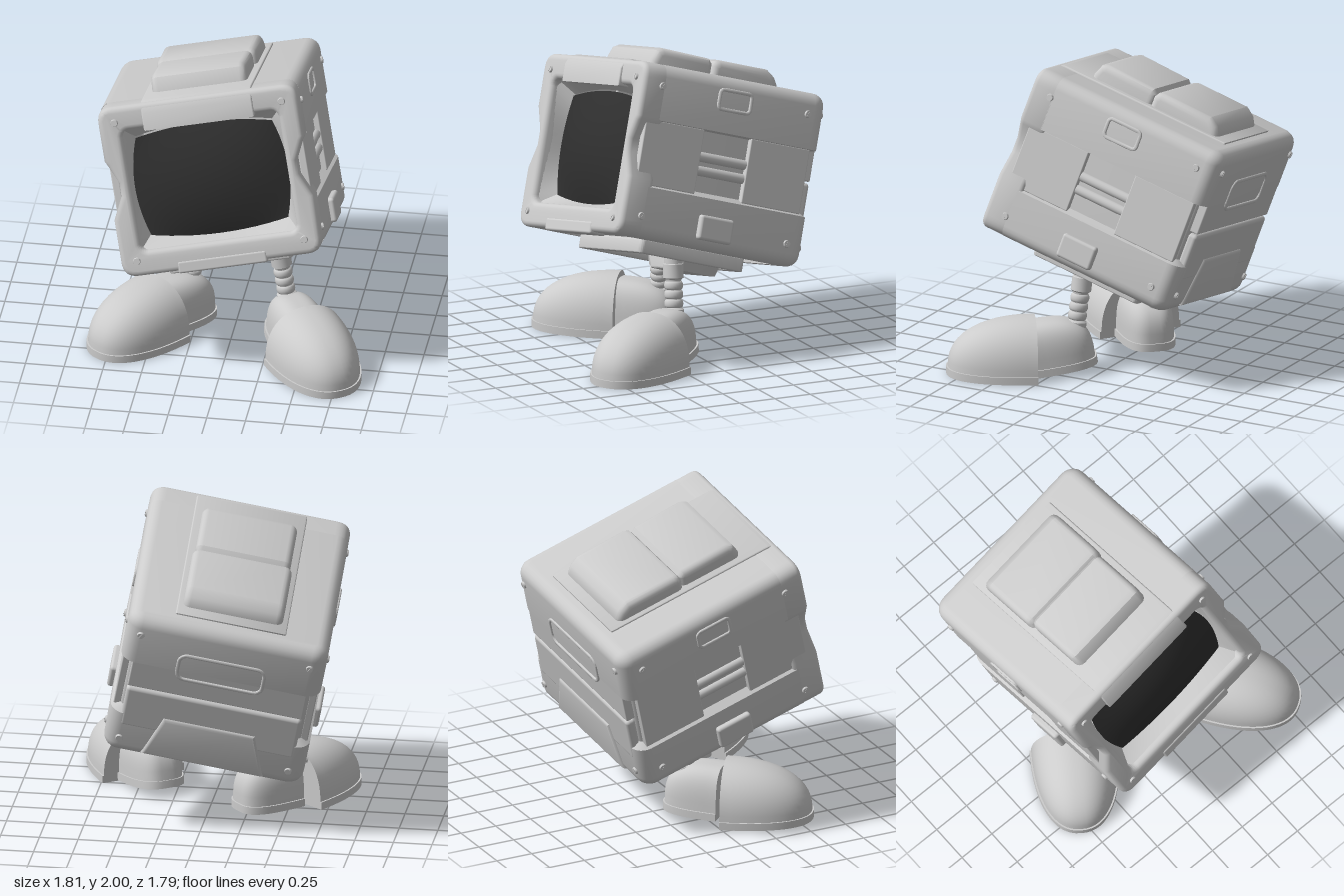
import * as THREE from 'three';
import { toCreasedNormals } from 'three/addons/utils/BufferGeometryUtils.js';
import { RoundedBoxGeometry } from 'three/addons/geometries/RoundedBoxGeometry.js';

const grey = new THREE.MeshStandardMaterial({ color: 0xcccccc, side: THREE.DoubleSide });
const dark = new THREE.MeshStandardMaterial({ color: 0x2e2e2e, side: THREE.DoubleSide });
const A = 0.65, B = 0.56, C = 0.69; // half width, height and depth of the casing

function add(parent, name, geo, x = 0, y = 0, z = 0, mat = grey) {
  const m = new THREE.Mesh(geo, mat);
  m.name = name;
  m.position.set(x, y, z);
  parent.add(m);
  return m;
}
function group(parent, name) {
  const g = new THREE.Group();
  g.name = name;
  parent.add(g);
  return g;
}
const rbox = (w, h, d, r = 0.015) => new RoundedBoxGeometry(w, h, d, 3, r);

// Joins equal-length rings of points into a surface
function loft(rings) {
  const n = rings[0].length, idx = [];
  for (let j = 0; j < rings.length - 1; j++)
    for (let i = 0; i < n - 1; i++) {
      const a = j * n + i, b = a + n;
      idx.push(a, a + 1, b + 1, a, b + 1, b);
    }
  const g = new THREE.BufferGeometry().setFromPoints(rings.flat());
  g.setIndex(idx);
  return toCreasedNormals(g, 0.6);
}

// Rounded rectangle outline
function rrect(w, h, r, s = new THREE.Shape()) {
  const x = w / 2, y = h / 2, q = Math.PI / 2;
  s.absarc(x - r, y - r, r, 0, q);
  s.absarc(-x + r, y - r, r, q, 2 * q);
  s.absarc(-x + r, -y + r, r, 2 * q, 3 * q);
  s.absarc(x - r, -y + r, r, 3 * q, 4 * q);
  s.closePath();
  return s;
}
function extrude(shape, depth, bevel) {
  const g = new THREE.ExtrudeGeometry(shape, {
    depth: depth - 2 * bevel, bevelSize: bevel, bevelThickness: bevel, bevelOffset: -bevel, bevelSegments: 4, curveSegments: 8,
  });
  g.translate(0, 0, bevel);
  return toCreasedNormals(g, 0.6);
}
const poly = (pts) => new THREE.Shape(pts.map(([x, y]) => new THREE.Vector2(x, y)));

// Extrudes a (depth, height) profile across the width
function across(pts, width, bevel) {
  const g = extrude(poly(pts.map(([z, y]) => [-z, y])), width, bevel);
  g.translate(0, 0, -width / 2);
  return g.rotateY(Math.PI / 2);
}
function ringFrame(w, h, r, border, depth) {
  const s = rrect(w, h, r);
  s.holes.push(rrect(w - 2 * border, h - 2 * border, Math.max(r - border, 0.015), new THREE.Path()));
  return extrude(s, depth, 0.008);
}
function screws(parent, x, y) {
  for (const i of [-x, x]) for (const j of [-y, y]) {
    const head = new THREE.CylinderGeometry(0.021, 0.026, 0.016, 16).rotateX(Math.PI / 2);
    add(parent, 'screw', head, i, j, 0.004);
    add(parent, 'screwSlot', new THREE.BoxGeometry(0.034, 0.007, 0.008), i, j, 0.01).rotation.z = 1.1;
  }
}

// Wrap-around casing, open at the front, with a recessed waist and hollow underside
function casingGeometry() {
  const ring = ([v, inset, squash = 1]) => {
    const a = A - inset, c = C - inset, r = Math.max(0.1 - inset, 0.02), right = [[a, 0.53]];
    for (let k = 0; k <= 6; k++) {
      const t = (k / 6) * Math.PI / 2;
      right.push([a - r + r * Math.cos(t), -(c - r) - r * Math.sin(t)]);
    }
    const left = right.map(([x, z]) => [-x, z]).reverse();
    return [...right, ...left].map(([x, z]) => new THREE.Vector3(x * squash, v, z));
  };
  const arc = [];
  for (let k = 0; k <= 5; k++) {
    const t = (k / 5) * Math.PI / 2;
    arc.push([B - 0.08 * (1 - Math.sin(t)), 0.08 * (1 - Math.cos(t))]);
  }
  const under = arc.map(([v, i]) => [-v, i]).reverse();
  return loft([[-0.46, 0.15, 0], [-0.46, 0.15], [-B, 0.14], ...under,
    [-0.23, 0], [-0.2, 0.055], [0.19, 0.055], [0.2, 0], ...arc, [B, 0.08, 0]].map(ring));
}

// Front frame with waisted sides
function frontFrameGeometry() {
  const r = 0.1, n = A - 0.07;
  const s = new THREE.Shape();
  s.moveTo(A, -B + r);
  s.lineTo(A, -0.18); s.lineTo(n, -0.03); s.lineTo(n, 0.06); s.lineTo(A - 0.015, 0.18); s.lineTo(A, 0.21);
  s.lineTo(A, B - r); s.quadraticCurveTo(A, B, A - r, B);
  s.lineTo(-A + r, B); s.quadraticCurveTo(-A, B, -A, B - r);
  s.lineTo(-A, 0.21); s.lineTo(-A + 0.015, 0.18); s.lineTo(-n, 0.06); s.lineTo(-n, -0.03); s.lineTo(-A, -0.18);
  s.lineTo(-A, -B + r); s.quadraticCurveTo(-A, -B, -A + r, -B);
  s.lineTo(A - r, -B); s.quadraticCurveTo(A, -B, A, -B + r);
  s.holes.push(rrect(1.02, 0.8, 0.05, new THREE.Path()));
  return extrude(s, 0.2, 0.034);
}

// Pillow outline of the picture tube, s and t run from -1 to 1
const tube = (s, t, z) => new THREE.Vector3(s * 0.5 * (1 - 0.11 * t * t), t * 0.37 * (1 - 0.13 * s * s), z);

function addScreen(body) {
  const glass = new THREE.PlaneGeometry(2, 2, 24, 20), p = glass.attributes.position;
  for (let i = 0; i < p.count; i++) {
    const s = p.getX(i), t = p.getY(i);
    const v = tube(s, t, 0.55 + 0.085 * (1 - s * s) * (1 - t * t));
    p.setXYZ(i, v.x, v.y, v.z);
  }
  glass.computeVertexNormals();
  add(body, 'screen', glass, 0, -0.01, 0, dark);
  const outer = [], inner = [];
  for (let k = 0; k <= 48; k++) {
    const side = Math.floor(k / 12) % 4, f = ((k % 12) / 12) * 2 - 1;
    const [s, t] = [[1, f], [-f, 1], [-1, -f], [f, -1]][side];
    outer.push(new THREE.Vector3(s * 0.515, t * 0.405, 0.655));
    inner.push(tube(s, t, 0.54));
  }
  add(body, 'screenBezel', loft([outer, inner]));
}

function addSide(body, side) {
  const g = group(body, side > 0 ? 'leftSide' : 'rightSide');
  g.position.x = side * A;
  g.rotation.y = side * Math.PI / 2;
  screws(g, 0.545, 0.42);
  for (const i of [-1, 1]) add(g, 'waistPanel', rbox(0.44, 0.42, 0.05, 0.008), i * 0.395, -0.01, -0.042);
  for (const y of [0.025, -0.065])
    add(g, 'ventBar', new THREE.CylinderGeometry(0.032, 0.032, 0.36, 16).rotateZ(Math.PI / 2), 0, y, -0.055);
  add(g, 'upperLatch', ringFrame(0.26, 0.15, 0.04, 0.024, 0.03), 0, 0.41, -0.018);
  add(g, 'lowerLatch', rbox(0.25, 0.16, 0.07, 0.02), 0, -0.42, 0.003);
}

function addBack(body) {
  const g = group(body, 'back');
  g.position.z = -C;
  g.rotation.y = Math.PI;
  screws(g, 0.55, 0.43);
  add(g, 'upperBackPlate', rbox(1.14, 0.3, 0.07, 0.01), 0, 0.15, -0.037);
  add(g, 'lowerBackPlate', rbox(1.14, 0.32, 0.07, 0.025), 0, -0.17, -0.033);
  add(g, 'handleRim', ringFrame(0.58, 0.22, 0.07, 0.025, 0.03), 0, 0.24, -0.02);
  add(g, 'backBulge', extrude(poly([[-0.4, -0.52], [0.4, -0.52], [0.3, -0.2], [-0.3, -0.2]]), 0.06, 0.028), 0, 0, -0.044);
}

// Dome of a shoe: half a squared-off ellipsoid with a flat back and a sole
function shoePart(parent, name, w, h, l, e) {
  const g = group(parent, name);
  const f = (c, k) => Math.sign(c) * k * (Math.abs(c) < 1e-6 ? 0 : Math.pow(Math.abs(c), e));
  const shape = (geo, kx, ky, kz) => {
    const p = geo.attributes.position;
    for (let i = 0; i < p.count; i++) p.setXYZ(i, f(p.getX(i), kx), f(p.getY(i), ky), f(p.getZ(i), kz));
    geo.computeVertexNormals();
    return geo;
  };
  add(g, name + 'Dome', shape(new THREE.SphereGeometry(1, 32, 16, 0, Math.PI, 0, Math.PI / 2), w, h, l), 0, 0.05);
  add(g, name + 'Back', shape(new THREE.CircleGeometry(1, 32, 0, Math.PI), w, h, 1).rotateY(Math.PI), 0, 0.05);
  const sole = new THREE.CylinderGeometry(1, 1, 1, 32, 1, false, -Math.PI / 2, Math.PI);
  add(g, name + 'Sole', toCreasedNormals(shape(sole, w + 0.01, 0.025 / Math.pow(0.5, e), l + 0.01), 0.6), 0, 0.025);
  add(g, name + 'SoleEdge', new THREE.BoxGeometry(2 * w + 0.02, 0.05, 0.01), 0, 0.025, 0.005);
  return g;
}

function addLeg(root, name, hip, ankle, x, z, angle, heelTilt, heelTurn) {
  const foot = group(root, name + 'Foot');
  foot.position.set(x, 0, z);
  foot.rotation.y = angle;
  shoePart(foot, 'toe', 0.275, 0.32, 0.56, 0.88).position.z = 0.25;
  const heel = shoePart(foot, 'heel', 0.17, 0.28, 0.39, 0.65);
  heel.position.set(0, 0.008, 0.245);
  heel.rotation.set(heelTilt, Math.PI + heelTurn, 0);
  // Jointed leg with beaded rings
  const a = new THREE.Vector3(...ankle), d = new THREE.Vector3(...hip).sub(a), len = d.length();
  const prof = [[0.065, 0], [0.065, 0.14]];
  for (const c of [0.22, 0.34, 0.46])
    for (let k = 0; k <= 6; k++) {
      const t = -Math.PI / 2 + (k / 6) * Math.PI;
      prof.push([0.049 + 0.012 * Math.cos(t), c + 0.055 * Math.sin(t)]);
    }
  prof.push([0.052, 0.54], [0.066, 0.56], [0.066, 0.74], [0.06, 0.75], [0.06, 0.84], [0.07, 0.85], [0.07, 1]);
  const geo = new THREE.LatheGeometry(prof.map(([r, y]) => new THREE.Vector2(r, y * len)), 24);
  const leg = add(root, name + 'Leg', toCreasedNormals(geo, 0.7), ...ankle);
  leg.quaternion.setFromUnitVectors(new THREE.Vector3(0, 1, 0), d.normalize());
}

export function createModel() {
  const root = new THREE.Group();
  root.name = 'walkingMonitor';

  // Tilted body
  const body = group(root, 'body');
  body.quaternion.setFromRotationMatrix(new THREE.Matrix4().makeBasis(
    new THREE.Vector3(0.979, 0.1875, -0.0875), new THREE.Vector3(-0.2046, 0.9385, -0.278), new THREE.Vector3(0.03, 0.29, 0.957)));
  body.position.set(-0.105, 1.175, -0.05);
  add(body, 'casing', casingGeometry());
  add(body, 'frontFrame', frontFrameGeometry(), 0, 0, C - 0.2);
  addScreen(body);
  const front = group(body, 'frontScrews');
  front.position.z = C;
  screws(front, 0.545, 0.458);
  for (const s of [1, -1]) addSide(body, s);
  addBack(body);

  // Top panel folding over the front, and the two-part hump on it
  add(body, 'topPanel', across([[-0.57, 0.5], [-0.57, 0.57], [0.63, 0.57], [0.68, 0.55], [0.705, 0.5],
    [0.705, 0.385], [0.62, 0.385], [0.62, 0.5]], 0.72, 0.01));
  add(body, 'rearHump', across([[-0.49, 0.5], [-0.49, 0.58], [-0.46, 0.63], [-0.4, 0.67], [-0.04, 0.672],
    [-0.01, 0.66], [0.01, 0.63], [0.01, 0.5]], 0.65, 0.045));
  add(body, 'frontHump', across([[0, 0.5], [0, 0.64], [0.03, 0.67], [0.38, 0.68], [0.42, 0.66],
    [0.45, 0.59], [0.45, 0.5]], 0.62, 0.045));
  add(body, 'lowerFrontPlate', rbox(0.58, 0.08, 0.12), 0, -0.535, 0.635);

  // Hollow underside tray and hanging block
  add(body, 'trayRim', ringFrame(0.8, 0.78, 0.03, 0.06, 0.09).rotateX(-Math.PI / 2), 0, -0.64, -0.02);
  add(body, 'trayMount', rbox(0.72, 0.16, 0.7), 0, -0.5, -0.02);
  const block = extrude(poly([[-0.18, 0], [0.18, 0], [0.23, -0.05], [0.18, -0.13], [-0.18, -0.13], [-0.23, -0.05]]), 0.28, 0.015);
  add(body, 'hangingBlock', block, 0, -0.56, -0.34);

  addLeg(root, 'left', [0.28, 0.74, 0.14], [0.36, 0.26, 0.17], 0.365, 0.175, 0.57, 0.15, 0);
  addLeg(root, 'right', [-0.23, 0.64, 0], [-0.31, 0.24, -0.05], -0.335, -0.05, -0.62, 0, -0.2);
  return root;
}
